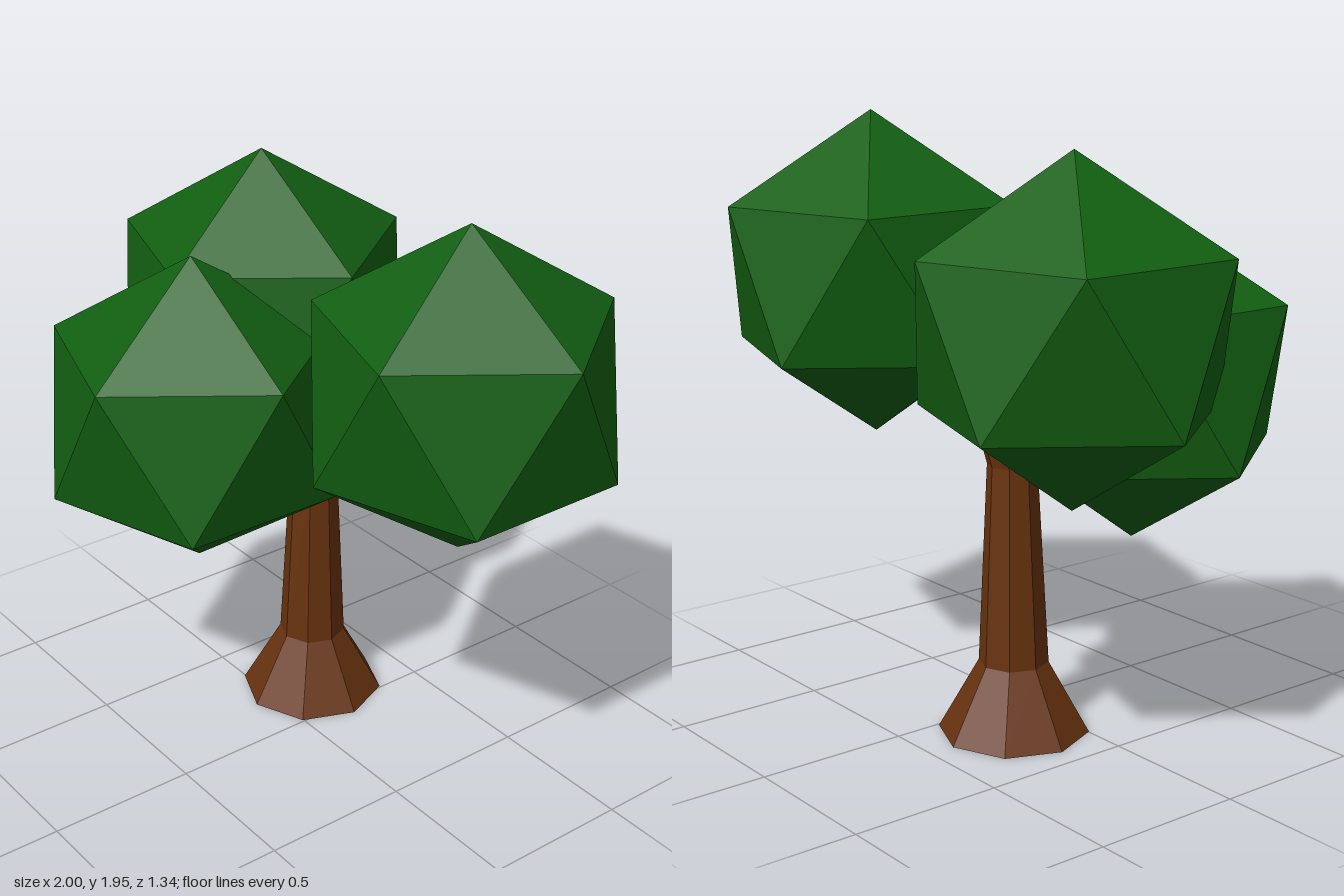
import * as THREE from 'three';

export function createModel() {
  const model = new THREE.Group();
  const leafGreen = new THREE.MeshStandardMaterial({ color: 0x125f12, flatShading: true });
  leafGreen.name = 'leafGreen';
  const barkBrown = new THREE.MeshStandardMaterial({ color: 0x68330f, flatShading: true });
  barkBrown.name = 'barkBrown';

  // Trunk: eight-sided, flared at the foot, bent slightly at the top.
  // Each ring is [x, y, z, radius], from the ground up.
  const rings = [
    [-0.18, 0, -0.17, 0.245],
    [-0.18, 0.235, -0.17, 0.113],
    [-0.18, 0.89, -0.175, 0.08],
    [-0.16, 1.08, -0.24, 0.065],
  ];
  const trunkGeometry = new THREE.CylinderGeometry(1, 1, 1, 8, rings.length - 1);
  const p = trunkGeometry.attributes.position;
  for (let i = 0; i < p.count; i++) {
    const [x, y, z, r] = rings[Math.round((p.getY(i) + 0.5) * (rings.length - 1))];
    p.setXYZ(i, x + p.getX(i) * r, y, z + p.getZ(i) * r);
  }
  trunkGeometry.computeVertexNormals();
  const trunk = new THREE.Mesh(trunkGeometry, barkBrown);
  trunk.name = 'trunk';
  model.add(trunk);

  // Foliage: three icosahedra standing on a corner
  const foliageGeometry = new THREE.IcosahedronGeometry(0.54, 0);
  foliageGeometry.rotateX(-Math.atan((1 + Math.sqrt(5)) / 2));
  foliageGeometry.rotateY(Math.PI / 2);
  const clumps = [
    ['leftFoliage', 0.515, 1.41, -0.213],
    ['rightFoliage', -0.515, 1.36, -0.213],
    ['frontFoliage', -0.31, 1.15, 0.213],
  ];
  for (const [name, x, y, z] of clumps) {
    const clump = new THREE.Mesh(foliageGeometry, leafGreen);
    clump.name = name;
    clump.position.set(x, y, z);
    model.add(clump);
  }
  return model;
}
